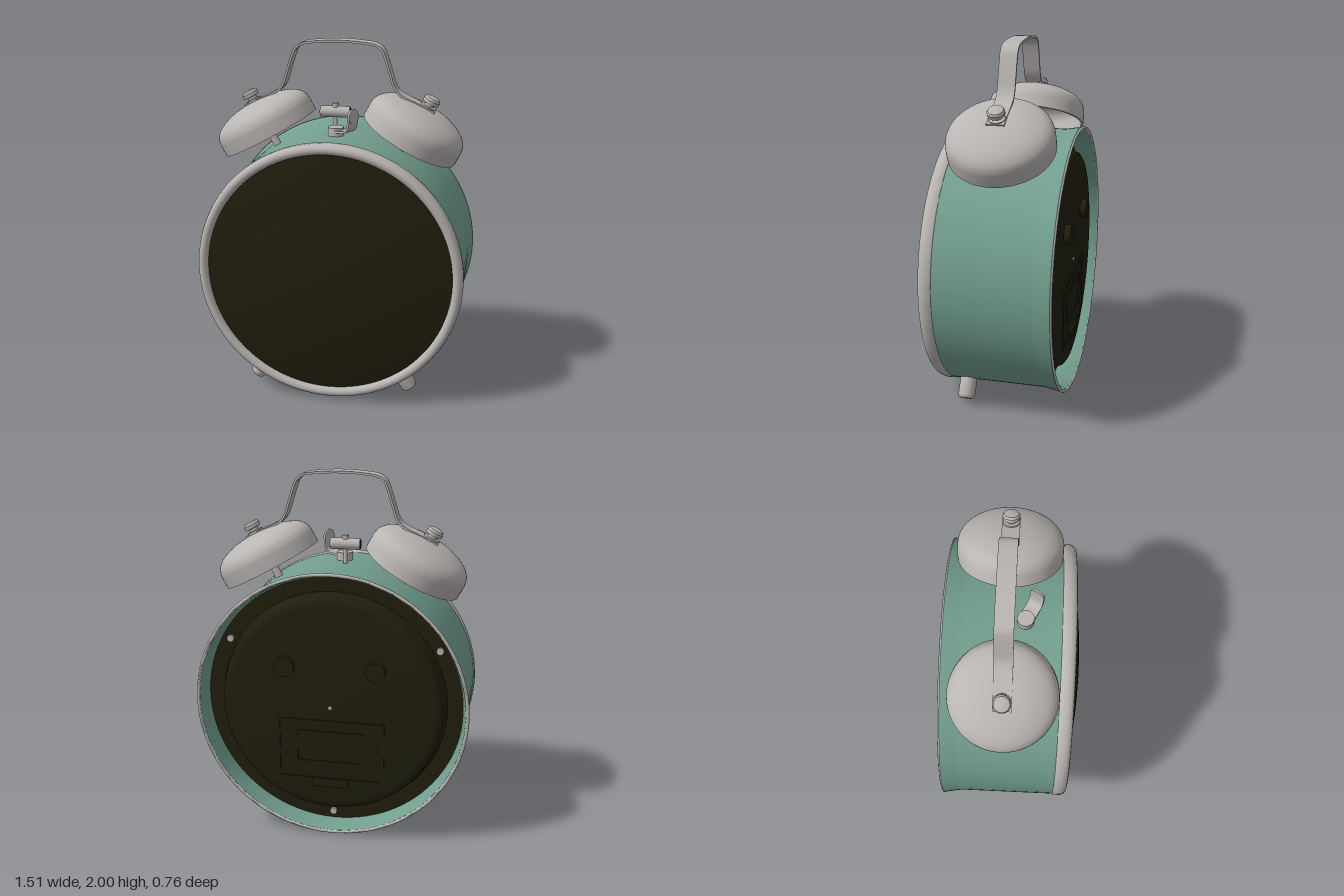
import * as THREE from 'three';
import { toCreasedNormals } from 'three/addons/utils/BufferGeometryUtils.js';

const CY = 0.758;      // height of the case axis
const BELL_Z = -0.037; // depth of bells, handle and hammer

export function createModel() {
  const paint = (name, color) => {
    const m = new THREE.MeshStandardMaterial({ color, side: THREE.DoubleSide });
    m.name = name;
    return m;
  };
  const green = paint('green enamel', 0x739f8f);
  const metal = paint('brushed metal', 0xb9b5b3);
  const dark = paint('dark olive', 0x201e0d);

  const clock = new THREE.Group();
  clock.name = 'alarmClock';

  const add = (parent, name, geo, mat, x = 0, y = 0, z = 0) => {
    const mesh = new THREE.Mesh(geo, mat);
    mesh.name = name;
    mesh.position.set(x, y, z);
    parent.add(mesh);
    return mesh;
  };
  const pairs = (list) => list.map(([a, b]) => new THREE.Vector2(a, b));
  const lathe = (list, seg = 48, crease = 0.6) =>
    toCreasedNormals(new THREE.LatheGeometry(pairs(list), seg), crease);
  // lathe profile of [radius, z] turned about the z axis
  const latheZ = (list, crease) => lathe(list, 96, crease).rotateX(Math.PI / 2);
  const cyl = (r, h, seg = 24) => new THREE.CylinderGeometry(r, r, h, seg);
  const cylZ = (r, h, seg) => cyl(r, h, seg).rotateX(Math.PI / 2);

  // bent sheet strip: a path in xy, thickened and extruded along z
  const strip = (list, thick, width, n) => {
    const curve = new THREE.SplineCurve(pairs(list));
    const side = (s) => Array.from({ length: n + 1 }, (_, i) => {
      const p = curve.getPoint(i / n), t = curve.getTangent(i / n);
      return new THREE.Vector2(p.x - t.y * s, p.y + t.x * s);
    });
    const shape = new THREE.Shape([...side(-thick / 2), ...side(thick / 2).reverse()]);
    const geo = new THREE.ExtrudeGeometry(shape, { depth: width, bevelEnabled: false });
    return toCreasedNormals(geo.translate(0, 0, -width / 2), 0.6);
  };

  // case: drum flared towards the back, with bezel, rim and convex front
  add(clock, 'caseShell', latheZ([
    [0.715, -0.24], [0.715, -0.285], [0.736, -0.372], [0.752, -0.372],
    [0.748, -0.345], [0.738, -0.29], [0.735, -0.27], [0.735, 0.255],
  ], 0.4), green, 0, CY);
  add(clock, 'backRim', latheZ([
    [0.736, -0.37], [0.738, -0.377], [0.744, -0.38], [0.752, -0.377], [0.755, -0.37],
  ], 1), metal, 0, CY);
  add(clock, 'bezel', latheZ([
    [0.70, 0.25], [0.732, 0.25], [0.74, 0.26], [0.741, 0.295], [0.735, 0.315], [0.724, 0.327],
    [0.71, 0.331], [0.696, 0.327], [0.685, 0.315], [0.68, 0.29],
  ], 0.9), metal, 0, CY);
  const domeProfile = Array.from({ length: 17 }, (_, i) => {
    const r = 0.69 * (1 - i / 16);
    return [r, 0.38 - 0.05 * (r / 0.55) ** 2];
  });
  add(clock, 'frontDome', latheZ(domeProfile), dark, 0, CY);

  // recessed back cover with raised centre
  add(clock, 'backCover', latheZ([
    [0, -0.35], [0.57, -0.35], [0.592, -0.346], [0.607, -0.335], [0.614, -0.315],
    [0.618, -0.275], [0.63, -0.26], [0.717, -0.26],
  ], 0.8), dark, 0, CY);
  for (const s of [-1, 1]) add(clock, 'settingKnob', cylZ(0.055, 0.04), dark, s * 0.25, 0.985, -0.365);

  // battery door: outer frame, inner panel and latch
  const frame = (w, h, t) => {
    const rect = (target, a, b) => target.moveTo(-a, -b).lineTo(a, -b).lineTo(a, b).lineTo(-a, b).closePath();
    const shape = rect(new THREE.Shape(), w / 2, h / 2);
    shape.holes.push(rect(new THREE.Path(), w / 2 - t, h / 2 - t));
    return new THREE.ExtrudeGeometry(shape, { depth: 0.008, bevelEnabled: false });
  };
  add(clock, 'batteryDoorFrame', frame(0.6, 0.36, 0.015), dark, 0, 0.5, -0.357);
  add(clock, 'batteryDoorPanel', frame(0.39, 0.19, 0.012), dark, 0, 0.52, -0.357);
  add(clock, 'batteryLatch', new THREE.BoxGeometry(0.2, 0.05, 0.016), dark, 0, 0.31, -0.354);

  // back screws
  add(clock, 'centreScrew', cylZ(0.01, 0.01, 12), metal, 0, CY, -0.352);
  for (const a of [30, 150, 270]) {
    const t = THREE.MathUtils.degToRad(a);
    add(clock, 'coverScrew', cylZ(0.02, 0.02, 16), metal,
      0.67 * Math.cos(t), CY + 0.67 * Math.sin(t), -0.265);
  }

  // bells and feet, each built upright along its radius of the case
  const outer = new THREE.SplineCurve(pairs([
    [0.285, 0], [0.285, 0.05], [0.282, 0.09], [0.265, 0.125], [0.225, 0.157], [0.15, 0.185], [0.07, 0.198], [0, 0.2],
  ])).getPoints(28).map((p) => [Math.max(p.x, 0), p.y]);
  const inner = outer.map(([r, y]) => [r * 0.955, y * 0.94]).reverse();
  const bellGeo = lathe([...inner, ...outer], 64);
  const knobGeo = lathe([
    [0, 0.19], [0.045, 0.19], [0.045, 0.212], [0.026, 0.214], [0.026, 0.228], [0.045, 0.23],
    [0.047, 0.25], [0.04, 0.262], [0.02, 0.268], [0, 0.269],
  ], 24);
  const footGeo = lathe([
    [0, 0], [0.03, 0], [0.041, 0.005], [0.047, 0.018], [0.047, 0.16], [0, 0.16],
  ], 24, 0.9);
  for (const s of [-1, 1]) {
    const bell = new THREE.Group();
    bell.name = s > 0 ? 'leftBell' : 'rightBell';
    bell.position.set(s * 0.393, CY + 0.709, BELL_Z);
    bell.rotation.z = -s * 0.495;
    add(bell, 'bellCup', bellGeo, metal);
    add(bell, 'bellPost', cyl(0.022, 0.3, 16), metal, 0, 0.05);
    add(bell, 'bellNut', knobGeo, metal);
    clock.add(bell);

    const foot = add(clock, s > 0 ? 'leftFoot' : 'rightFoot', footGeo, metal, s * 0.457, 0.043, 0.16);
    foot.rotation.z = s * 0.568;
  }

  // carrying handle
  const half = [[-0.53, 1.621], [-0.46, 1.657], [-0.35, 1.708], [-0.308, 1.755], [-0.283, 1.83],
    [-0.255, 1.915], [-0.235, 1.953], [-0.195, 1.978], [-0.1, 1.99]];
  const mirrored = half.map(([x, y]) => [-x, y]).reverse();
  add(clock, 'handle', strip([...half, [0, 1.994], ...mirrored], 0.012, 0.095, 90), metal, 0, 0, BELL_Z);

  // hammer between the bells
  add(clock, 'hammerStem', cyl(0.012, 0.16, 12), metal, -0.022, 1.56, BELL_Z);
  add(clock, 'hammerTip', cyl(0.018, 0.025, 16), metal, -0.022, 1.638, BELL_Z);
  add(clock, 'hammerHead', cyl(0.031, 0.165).rotateZ(Math.PI / 2), metal, -0.022, 1.602, BELL_Z);
  for (const s of [-1, 1]) {
    add(clock, 'hammerPad', cyl(0.024, 0.004).rotateZ(Math.PI / 2), dark, -0.022 + s * 0.083, 1.602, BELL_Z);
  }

  // alarm lever: pivot disc and upturned tab
  const lever = new THREE.Group();
  lever.name = 'alarmLever';
  lever.position.set(0, 1.48, 0.06);
  lever.rotation.y = -0.49;
  add(lever, 'leverPivot', cyl(0.045, 0.055), metal, 0, 0.03);
  add(lever, 'leverArm', strip([[0, 0.04], [0.07, 0.042], [0.1, 0.055], [0.113, 0.085], [0.118, 0.13]], 0.012, 0.08, 20), metal);
  add(lever, 'leverTab', cyl(0.04, 0.012).rotateZ(Math.PI / 2), metal, 0.118, 0.13);
  clock.add(lever);

  return clock;
}
